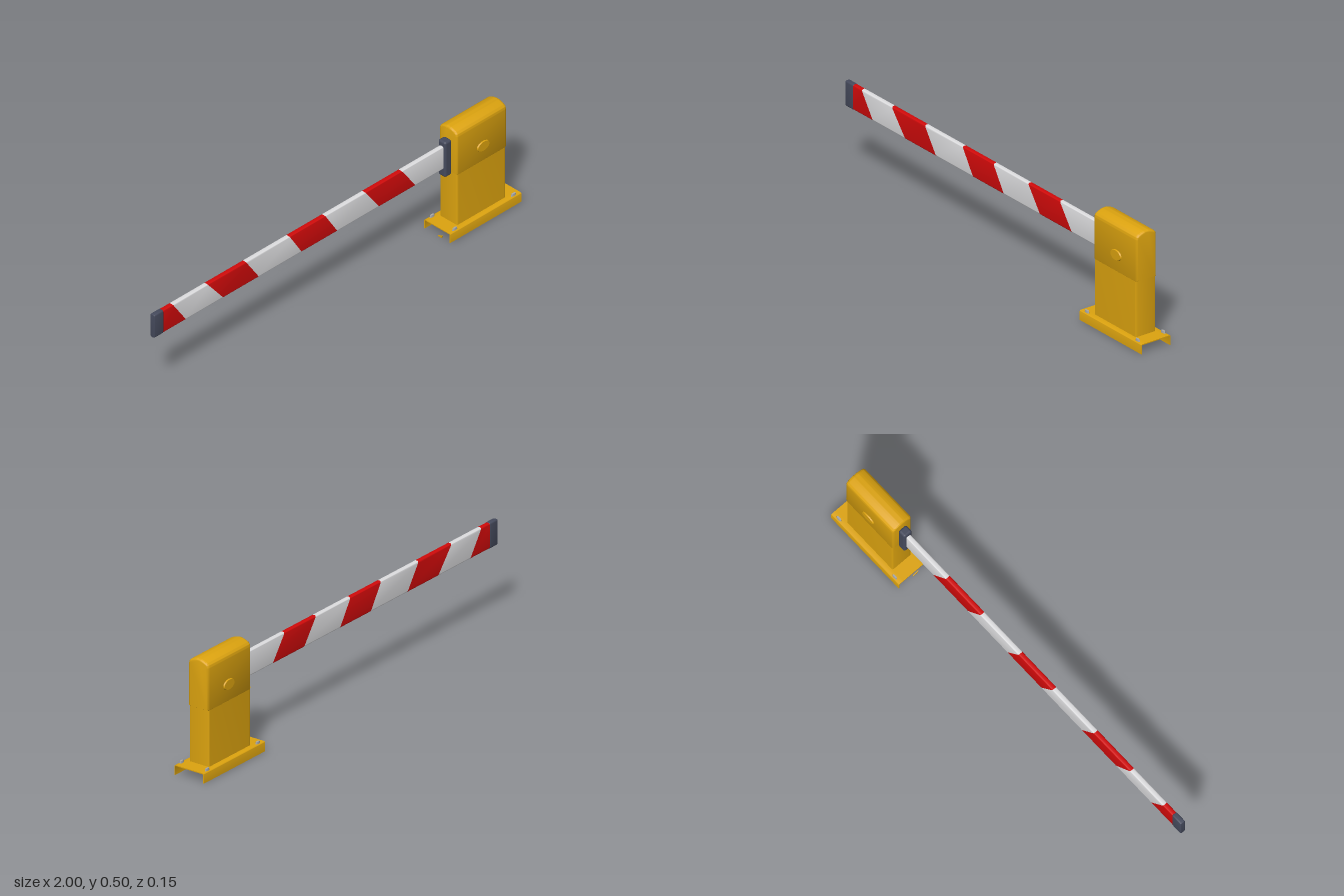
import * as THREE from 'three';
import { toCreasedNormals } from 'three/addons/utils/BufferGeometryUtils.js';
import { RoundedBoxGeometry } from 'three/addons/geometries/RoundedBoxGeometry.js';

const material = (name, color) => {
  const m = new THREE.MeshStandardMaterial({ color });
  m.name = name;
  return m;
};

// Rounded rectangle centred on the origin
function roundedRect(w, h, r, Type = THREE.Shape) {
  const s = new Type(), x = w / 2, y = h / 2;
  s.moveTo(-x + r, -y);
  s.lineTo(x - r, -y).quadraticCurveTo(x, -y, x, -y + r);
  s.lineTo(x, y - r).quadraticCurveTo(x, y, x - r, y);
  s.lineTo(-x + r, y).quadraticCurveTo(-x, y, -x, y - r);
  s.lineTo(-x, -y + r).quadraticCurveTo(-x, -y, -x + r, -y);
  return s;
}

// Extrude a (-z, y) profile along x
function extrudeX(shape, x0, x1, bevel = 0) {
  const g = new THREE.ExtrudeGeometry(shape, {
    depth: x1 - x0 - 2 * bevel, curveSegments: 8, bevelEnabled: bevel > 0,
    bevelThickness: bevel, bevelSize: bevel * 0.8, bevelOffset: -bevel * 0.8, bevelSegments: 3,
  });
  g.rotateY(Math.PI / 2).translate(x0 + bevel, 0, 0);
  return toCreasedNormals(g, 0.6);
}

export function createModel() {
  const yellow = material('yellow paint', 0xdca30f);
  const red = material('red stripe', 0xd00a0a);
  const white = material('white stripe', 0xdcdcde);
  const dark = material('dark plastic', 0x454a5c);
  const steel = material('bolt steel', 0xa8a8a8);

  const model = new THREE.Group();
  model.name = 'barrierGate';
  const add = (name, geometry, mat, parent = model) => {
    const mesh = new THREE.Mesh(geometry, mat);
    mesh.name = name;
    parent.add(mesh);
    return mesh;
  };

  // Base channel, open underneath and at both ends
  const base = new THREE.Group();
  base.name = 'base';
  model.add(base);
  for (const s of [-1, 1]) {
    const p = new THREE.Shape();
    p.moveTo(s * 0.048, 0.043);
    p.lineTo(s * 0.066, 0.043).quadraticCurveTo(s * 0.073, 0.043, s * 0.073, 0.036);
    p.lineTo(s * 0.073, 0).lineTo(s * 0.069, 0).lineTo(s * 0.069, 0.035);
    p.quadraticCurveTo(s * 0.069, 0.039, s * 0.065, 0.039).lineTo(s * 0.048, 0.039);
    add('baseSide', extrudeX(p, 0.6, 1), yellow, base);
  }
  for (const [a, b] of [[0.6, 0.667], [0.931, 1]]) {
    const g = new THREE.BoxGeometry(b - a, 0.004, 0.096);
    g.translate((a + b) / 2, 0.041, 0);
    add('baseEndPlate', g, yellow, base);
  }

  // Small triangular tab at the arm end of the channel
  const tab = new THREE.Shape();
  tab.moveTo(-0.031, 0.014);
  tab.lineTo(-0.024, 0).lineTo(-0.004, 0).lineTo(-0.004, 0.003);
  add('baseTab', extrudeX(tab, 0.6, 0.603), yellow, base);

  // Anchor bolts
  for (const x of [0.635, 0.965]) for (const z of [-0.063, 0.063]) {
    const g = new THREE.CylinderGeometry(0.004, 0.005, 0.01, 16);
    g.scale(2.8, 1, 1).translate(x, 0.048, z);
    add('bolt', g, steel, base);
  }

  // Hollow post
  const postShape = roundedRect(0.272, 0.098, 0.007);
  postShape.holes.push(roundedRect(0.262, 0.09, 0.004, THREE.Path));
  const post = new THREE.ExtrudeGeometry(postShape, { depth: 0.256, bevelEnabled: false, curveSegments: 6 });
  post.rotateX(-Math.PI / 2).translate(0.799, 0.039, 0);
  add('post', toCreasedNormals(post, 0.6), yellow);

  // Domed head
  const head = new THREE.Shape();
  head.moveTo(-0.0465, 0.285);
  head.lineTo(0.0465, 0.285).quadraticCurveTo(0.0495, 0.285, 0.0495, 0.289);
  head.lineTo(0.0495, 0.468).quadraticCurveTo(0.0495, 0.484, 0.038, 0.489);
  head.quadraticCurveTo(0.016, 0.5, 0, 0.5).quadraticCurveTo(-0.016, 0.5, -0.038, 0.489);
  head.quadraticCurveTo(-0.0495, 0.484, -0.0495, 0.468);
  head.lineTo(-0.0495, 0.289).quadraticCurveTo(-0.0495, 0.285, -0.0465, 0.285);
  add('head', extrudeX(head, 0.66, 0.941, 0.01), yellow);

  // Oval pivot covers on both sides
  for (const s of [-1, 1]) {
    const g = new THREE.CylinderGeometry(0.021, 0.0235, 0.006, 32);
    g.rotateX(s * Math.PI / 2).scale(1.5, 1, 1).translate(0.807, 0.357, s * 0.0515);
    add('pivotCover', g, yellow);
  }

  // Arm collar
  const collar = new RoundedBoxGeometry(0.038, 0.17, 0.042, 3, 0.01);
  collar.translate(0.643, 0.361, 0);
  add('armCollar', collar, dark);

  // Striped arm: each section spans two slanted edges given as [top x, bottom x]
  const arm = new THREE.Group();
  arm.name = 'arm';
  model.add(arm);
  const edges = [
    [-0.955, -0.955], [-0.895, -0.82], [-0.70, -0.61], [-0.485, -0.41], [-0.24, -0.17],
    [-0.04, 0.03], [0.185, 0.265], [0.39, 0.47], [0.645, 0.645],
  ];
  const bottom = 0.314, height = 0.11;
  for (let i = 0; i < edges.length - 1; i++) {
    const g = extrudeX(roundedRect(0.022, height, 0.009), 0, 1);
    g.translate(0, bottom + height / 2, 0);
    const p = g.attributes.position;
    for (let v = 0; v < p.count; v++) {
      const t = (p.getY(v) - bottom) / height;
      const at = ([top, low]) => low + (top - low) * t;
      p.setX(v, at(edges[i]) + (at(edges[i + 1]) - at(edges[i])) * p.getX(v));
    }
    add(i % 2 ? 'whiteSection' : 'redSection', toCreasedNormals(g, 0.6), i % 2 ? white : red, arm);
  }

  // Arm end cap
  const cap = extrudeX(roundedRect(0.024, 0.112, 0.009), -1, -0.948, 0.004);
  cap.translate(0, bottom + height / 2, 0);
  add('armEndCap', cap, dark, arm);

  return model;
}
